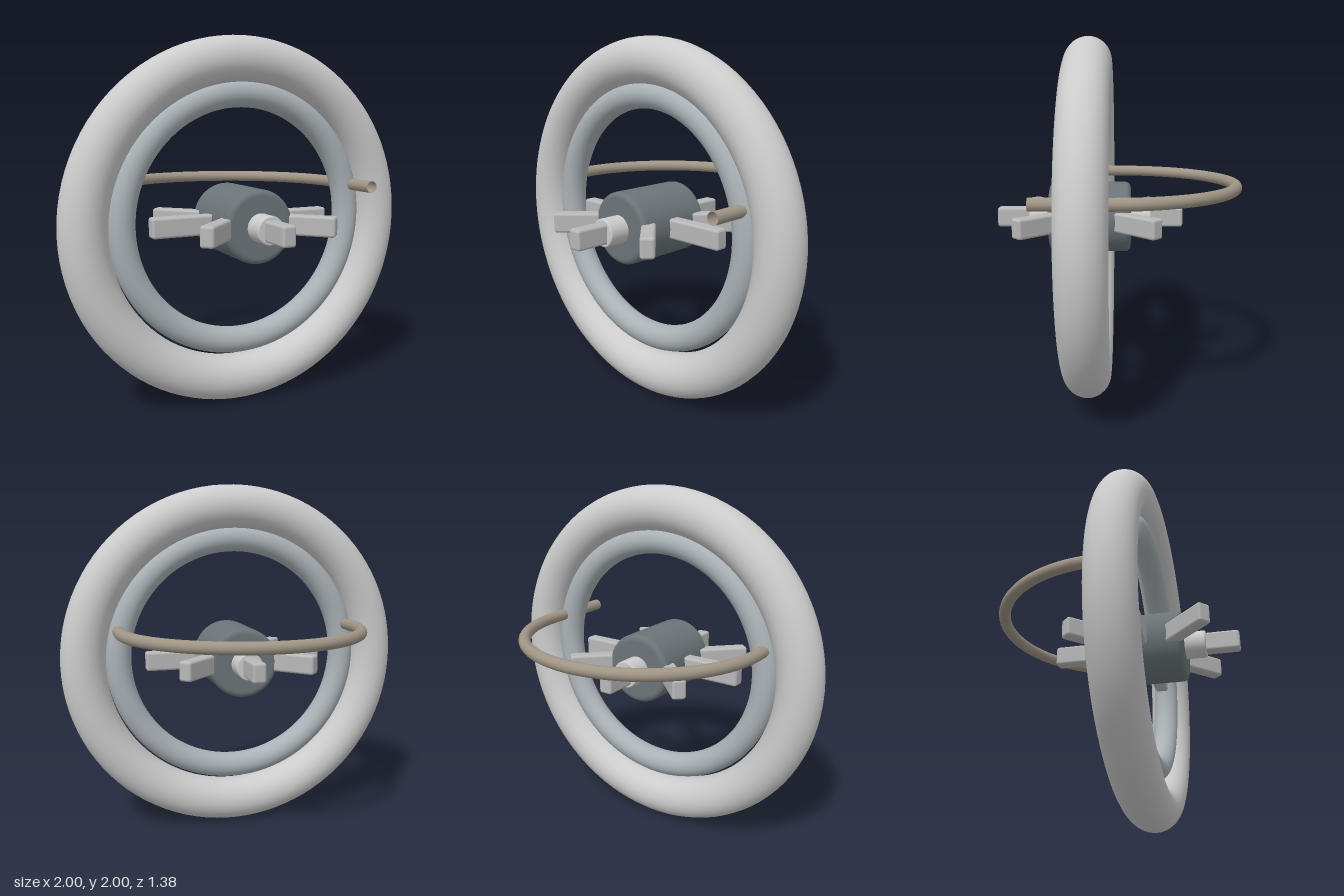
import * as THREE from 'three';
import { RoundedBoxGeometry } from 'three/addons/geometries/RoundedBoxGeometry.js';

const CZ = 0.16; // depth of the wheel's mid-plane

function material(color, side = THREE.FrontSide) {
  return new THREE.MeshStandardMaterial({ color, side });
}

// Solid drum along z with softened rims
function drum(radius, length, bevel) {
  const h = length / 2;
  const profile = [[0, -h], [radius - bevel - 0.005, -h]];
  for (let i = 0; i <= 6; i++) {
    const a = (i / 6) * Math.PI / 2;
    profile.push([radius - bevel + bevel * Math.sin(a), -h + bevel - bevel * Math.cos(a)]);
  }
  const mirrored = profile.map(([r, y]) => [r, -y]).reverse();
  const points = [...profile, ...mirrored].map(([r, y]) => new THREE.Vector2(r, y));
  return new THREE.LatheGeometry(points, 48).rotateX(Math.PI / 2);
}

export function createModel() {
  const model = new THREE.Group();
  const light = material(0xcccccc);
  const add = (name, geometry, mat, x, y, z, parent = model) => {
    const mesh = new THREE.Mesh(geometry, mat);
    mesh.name = name;
    mesh.position.set(x, y, z);
    parent.add(mesh);
    return mesh;
  };

  // Tyre and the rim nested slightly high inside it
  add('tyre', new THREE.TorusGeometry(0.875, 0.125, 32, 96), light, 0, 1, CZ);
  add('rim', new THREE.TorusGeometry(0.68, 0.073, 24, 96), material(0xaab2b7), 0, 1.018, CZ);

  // Hub with its axle
  add('hub', drum(0.198, 0.456, 0.03), material(0x6b7478), 0, 1.004, CZ - 0.003);
  add('axle', drum(0.076, 0.685, 0.008), light, 0, 1.004, CZ - 0.002);

  // Eight flat spokes radiating in the horizontal plane
  const spokes = new THREE.Group();
  spokes.name = 'spokes';
  spokes.position.set(0, 1.004, CZ);
  model.add(spokes);
  const bar = new RoundedBoxGeometry(0.4, 0.11, 0.076, 3, 0.015);
  for (let i = 0; i < 8; i++) {
    const a = (i / 8) * Math.PI * 2;
    const spoke = add('spoke', bar, material(0xb8b8b8), 0.325 * Math.cos(a), 0, 0.325 * Math.sin(a), spokes);
    spoke.rotation.y = -a;
  }

  // Bent tubular handle: half circle behind, then a straight open end in front
  const handle = new THREE.CurvePath();
  const R = 0.68, z0 = 0.022;
  const arc = [];
  for (let i = 0; i <= 24; i++) {
    const a = Math.PI * (1 - i / 24);
    arc.push(new THREE.Vector3(R * Math.cos(a), 0, z0 - R * Math.sin(a)));
  }
  handle.add(new THREE.LineCurve3(new THREE.Vector3(-R, 0, 0.12), arc[0]));
  handle.add(new THREE.CatmullRomCurve3(arc));
  handle.add(new THREE.LineCurve3(arc[24], new THREE.Vector3(R, 0, 0.417)));
  add('handle', new THREE.TubeGeometry(handle, 120, 0.033, 16), material(0x9f9585, THREE.DoubleSide), 0, 1.188, 0);

  return model;
}
